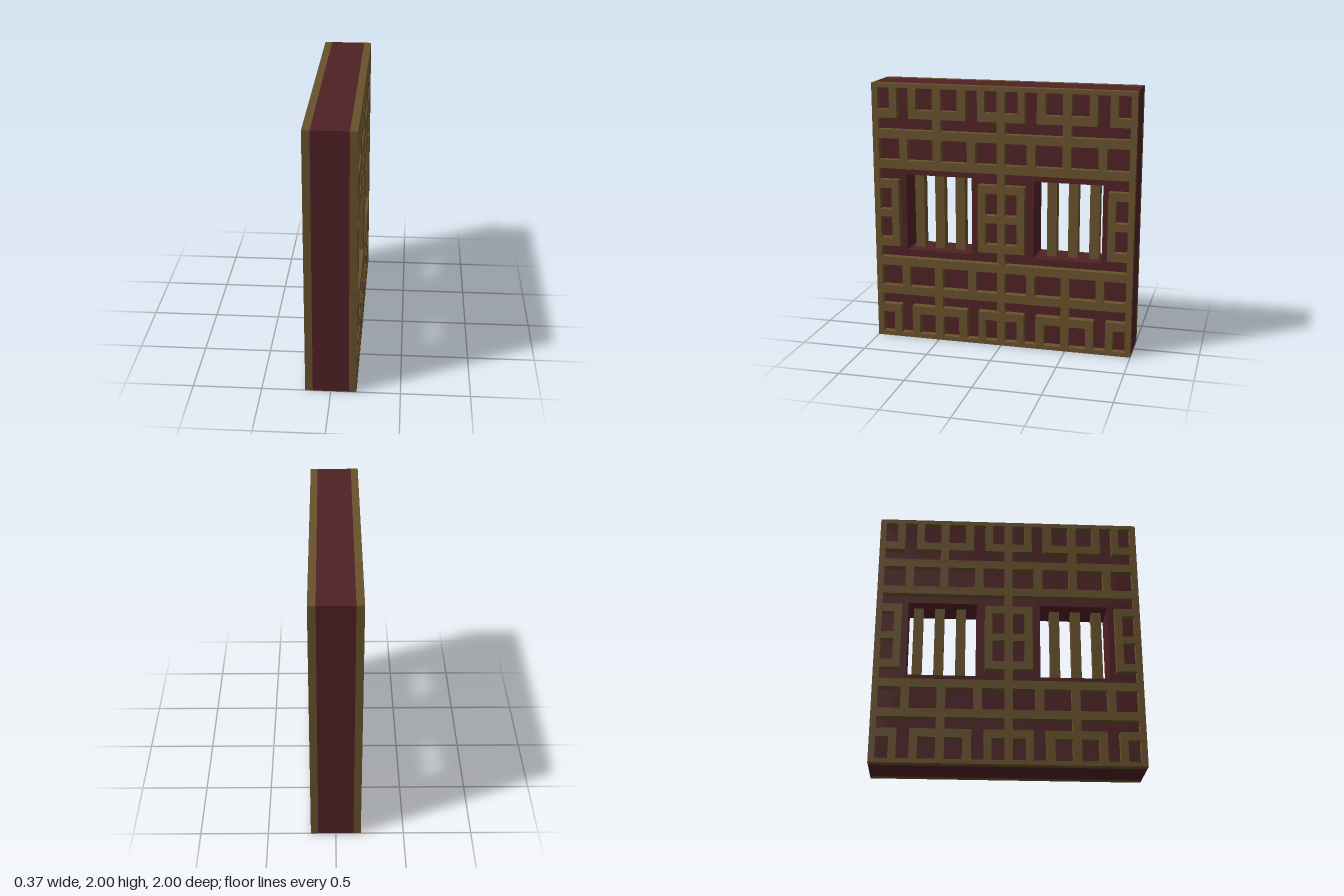
import * as THREE from 'three';

const HALF = 0.185, CORE = 0.13; // half thickness of the whole panel and of its core

export function createModel() {
  const group = new THREE.Group();
  const maroon = new THREE.MeshStandardMaterial({ color: 0x502124 });
  maroon.name = 'dark maroon';
  const olive = new THREE.MeshStandardMaterial({ color: 0x69522c });
  olive.name = 'olive wood';

  const add = (name, geometry, material, x = 0, y = 0, z = 0) => {
    const mesh = new THREE.Mesh(geometry, material);
    mesh.name = name;
    mesh.position.set(x, y, z);
    group.add(mesh);
  };
  const path = (points) => new THREE.Path(points.map(([u, v]) => new THREE.Vector2(u, v)));
  const rect = (u0, u1, v0, v1) => [[u0, v0], [u1, v0], [u1, v1], [u0, v1]];

  // Square panel with cut-outs, extruded along x; v is measured from mid height
  const panel = (holes, depth) => {
    const shape = new THREE.Shape(rect(-1, 1, -1, 1).map(([u, v]) => new THREE.Vector2(u, v)));
    shape.holes = holes.map(path);
    return new THREE.ExtrudeGeometry(shape, { depth, bevelEnabled: false })
      .translate(0, 0, -depth / 2).rotateY(Math.PI / 2);
  };

  // Lattice cut-outs for one quarter
  const quarter = [];
  for (const [a, b] of [[0.03, 0.125], [0.335, 0.463], [0.527, 0.656], [0.863, 0.955]])
    quarter.push(rect(a, b, 0.803, 0.967));
  for (const [a, b] of [[0.03, 0.195], [0.26, 0.463], [0.527, 0.728], [0.79, 0.955]])
    quarter.push(rect(a, b, 0.417, 0.583));
  for (const [a, b] of [[0.03, 0.122], [0.863, 0.955]])
    quarter.push(rect(a, b, 0.029, 0.197));
  for (const [a, b, s, t] of [[0.03, 0.463, 0.18, 0.27], [0.527, 0.955, 0.715, 0.806]])
    quarter.push([[a, 0.65], [b, 0.65], [b, 0.738], [t, 0.738], [t, 0.967], [s, 0.967], [s, 0.738], [a, 0.738]]);

  // Wide cut-out around a window
  const surround = [
    [0.03, 0.351], [0.955, 0.351], [0.955, 0.261], [0.806, 0.261], [0.806, -0.261], [0.955, -0.261],
    [0.955, -0.351], [0.03, -0.351], [0.03, -0.261], [0.18, -0.261], [0.18, 0.261], [0.03, 0.261],
  ];
  const lattice = [], windows = [];
  for (const su of [-1, 1]) {
    const mirror = (points, sv) => points.map(([u, v]) => [su * u, sv * v]);
    for (const sv of [-1, 1]) lattice.push(...quarter.map((p) => mirror(p, sv)));
    lattice.push(mirror(surround, 1));
    windows.push(mirror(rect(0.24, 0.76, -0.298, 0.298), 1));
  }

  // Core with two windows, and a lattice on each face
  add('core', panel(windows, CORE * 2), maroon, 0, 1);
  const latticeGeometry = panel(lattice, HALF - CORE);
  for (const side of [-1, 1])
    add(side > 0 ? 'leftLattice' : 'rightLattice', latticeGeometry, olive, side * (HALF + CORE) / 2, 1);

  // Square window bars
  const bar = new THREE.BoxGeometry(0.074, 0.596, 0.074);
  for (const side of [-1, 1])
    for (const z of [0.36, 0.523, 0.685]) add('windowBar', bar, olive, 0, 1, side * z);

  return group;
}
